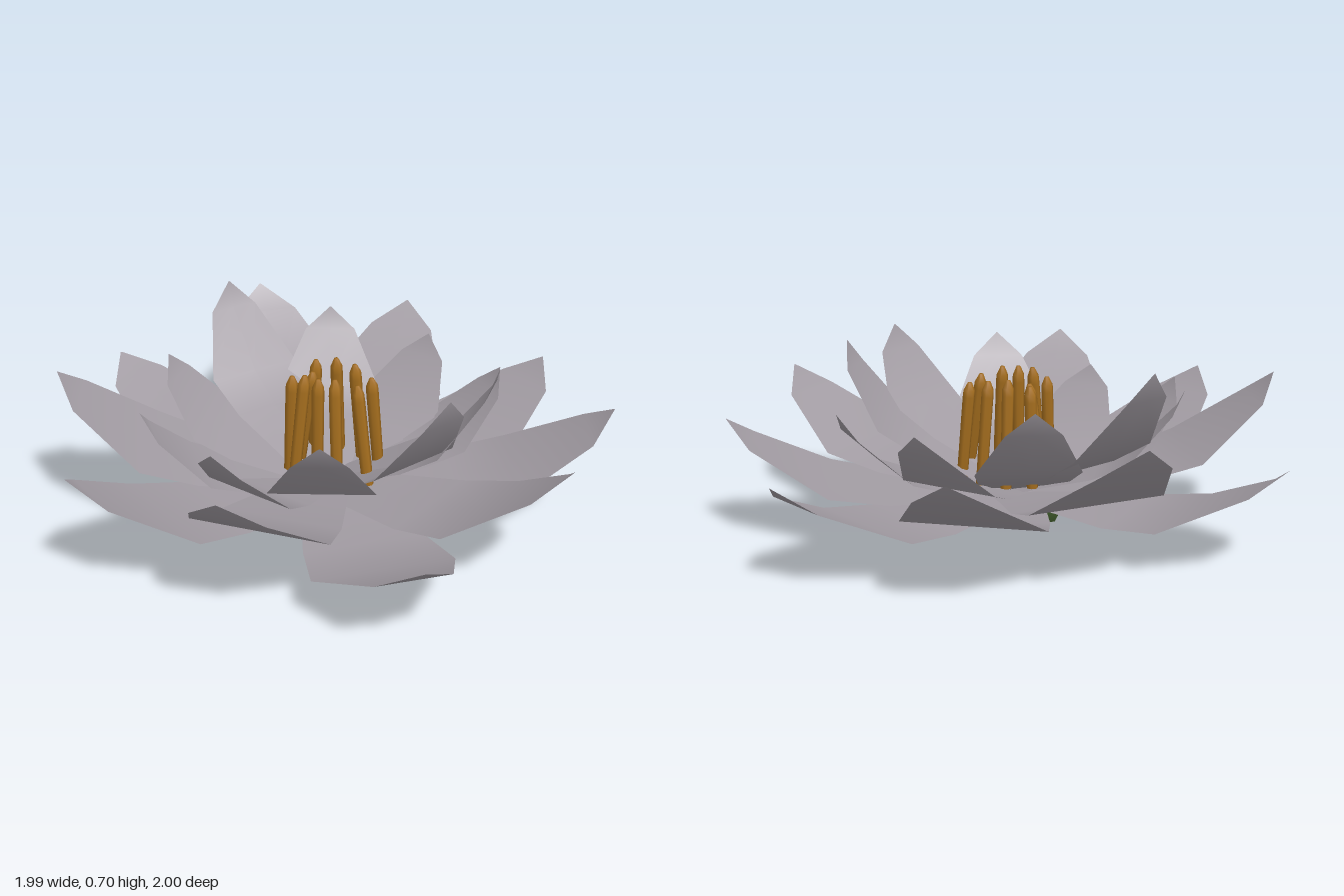
import * as THREE from 'three';

// Rows along a petal: [distance along, sag below the chord, half width], as fractions
const ROWS = [[0, 0, 0.4], [0.2, 0.045, 0.62], [0.42, 0.1, 0.87], [0.62, 0.122, 1], [0.9, 0.055, 0.52], [1, 0, 0.008]];
const CENTRE_Z = 0.02;

// Flat-sectioned petal pointing along +z, bending up to its tip
function petalGeometry(tipR, tipY, baseY, halfWidth, sagScale) {
  const rise = tipY - baseY;
  const pos = [], idx = [];
  ROWS.forEach(([s, sag, w], i) => {
    const k = sag * sagScale;
    const z = tipR * s + rise * k;
    const y = baseY + rise * s - tipR * k;
    for (const side of [-1, 0, 1]) pos.push(side * w * halfWidth, y, z);
    if (i === 0) return;
    for (let j = 0; j < 2; j++) {
      const a = (i - 1) * 3 + j, c = a + 3;
      idx.push(a, c, a + 1, a + 1, c, c + 1);
    }
  });
  const g = new THREE.BufferGeometry();
  g.setAttribute('position', new THREE.Float32BufferAttribute(pos, 3));
  g.setIndex(idx);
  g.computeVertexNormals();
  return g;
}

export function createModel() {
  const model = new THREE.Group();
  const petalMat = new THREE.MeshStandardMaterial({ color: 0xa29ca3, side: THREE.DoubleSide });
  const greenMat = new THREE.MeshStandardMaterial({ color: 0x55783c, side: THREE.DoubleSide });
  const stamenMat = new THREE.MeshStandardMaterial({ color: 0xa56e1e });

  // Ring of petals, starting at startDeg from the back and turning towards +x
  function petalRing(name, tips, startDeg, baseY, halfWidth, sagScale) {
    const ring = new THREE.Group();
    ring.name = name + 's';
    ring.position.z = CENTRE_Z;
    tips.forEach(([r, y, turn = 0], i) => {
      const petal = new THREE.Mesh(petalGeometry(r, y, baseY, halfWidth, sagScale), petalMat);
      petal.name = name;
      petal.rotation.y = Math.PI - THREE.MathUtils.degToRad(startDeg + i * 36 + turn);
      ring.add(petal);
    });
    model.add(ring);
  }

  // Tip radius and height of each petal, and any extra turn in degrees
  petalRing('outerPetal', [
    [1.02, 0.47], [1.055, 0.37], [1.04, 0.44], [1.01, 0.5], [1.06, 0.37],
    [0.975, 0.55], [1.025, 0.45], [0.967, 0.56], [1.05, 0.37], [0.985, 0.55],
  ], 0, 0.13, 0.25, 0.94);
  petalRing('innerPetal', [
    [0.66, 0.5], [0.68, 0.5, -1], [0.63, 0.68, -1], [0.625, 0.68, -6], [0.65, 0.6],
    [0.62, 0.49], [0.675, 0.5], [0.62, 0.55], [0.69, 0.7, 1], [0.6, 0.585],
  ], 18, 0.14, 0.185, 1.15);

  // Green cup under the flower
  const cupProfile = [[0, 0], [0.185, 0.05], [0.218, 0.135]].map(p => new THREE.Vector2(...p));
  const cup = new THREE.Mesh(new THREE.LatheGeometry(cupProfile, 7, Math.PI / 2), greenMat);
  cup.name = 'cup';
  cup.position.z = CENTRE_Z;
  model.add(cup);

  // Stamens leaning inwards, each a rod with a pointed head: [top x, top z, top y, spread of the foot]
  const stamens = new THREE.Group();
  stamens.name = 'stamens';
  const profile = [[0, 0], [0.021, 0], [0.023, 0.85], [0.022, 0.92], [0.008, 1], [0, 1]];
  const up = new THREE.Vector3(0, 1, 0);
  [
    [-0.08, -0.095, 0.56, 1.15], [0, -0.09, 0.58, 1.5], [0.075, -0.08, 0.57, 1.3], [0.155, -0.03, 0.55, 1.2],
    [0.135, 0.07, 0.56, 1.4], [0.062, 0.1, 0.585, 1.4], [0.005, 0.115, 0.585, 1.1], [-0.05, 0.1, 0.585, 1.5],
    [-0.11, 0.07, 0.56, 1.1], [-0.06, -0.01, 0.55, 1.9],
  ].forEach(([x, z, y, spread]) => {
    const foot = new THREE.Vector3(x * spread, 0.19, z * spread);
    const axis = new THREE.Vector3(x, y, z).sub(foot);
    const length = axis.length();
    const points = profile.map(([r, h]) => new THREE.Vector2(r, h * length));
    const stamen = new THREE.Mesh(new THREE.LatheGeometry(points, 6), stamenMat);
    stamen.name = 'stamen';
    stamen.position.copy(foot);
    stamen.quaternion.setFromUnitVectors(up, axis.normalize());
    stamens.add(stamen);
  });
  model.add(stamens);

  return model;
}
